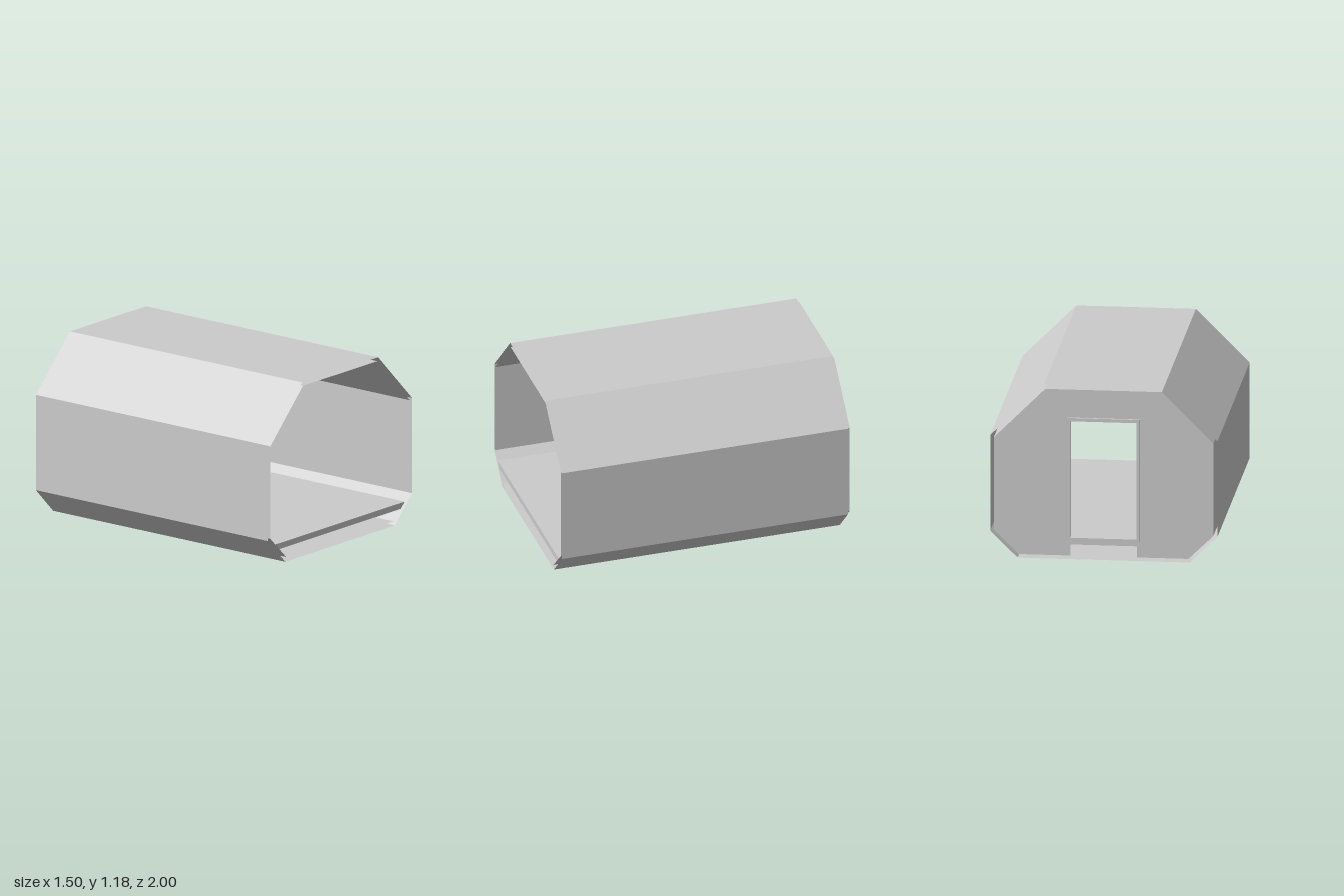
import * as THREE from 'three';

const grey = new THREE.MeshStandardMaterial({ color: 0xcccccc, flatShading: true });
const greyOpen = new THREE.MeshStandardMaterial({ color: 0xcccccc, flatShading: true, side: THREE.DoubleSide });

const FRONT = 1, SHELL_BACK = -0.965, WALL_FRONT = -0.96, WALL_BACK = -0.985;

// Mirror the right half (bottom to top) into a closed counter-clockwise outline
const mirrored = half => [...half, ...half.map(([x, y]) => [-x, y]).reverse()];

const outerOutline = mirrored([[0.57, 0], [0.75, 0.18], [0.75, 0.83], [0.395, 1.185]]);
const innerHalf = [[0.56, 0.03], [0.725, 0.19], [0.725, 0.82], [0.385, 1.16]];

const toShape = pts => new THREE.Shape(pts.map(([x, y]) => new THREE.Vector2(x, y)));

// Open-ended sleeve: one quad per outline edge, facing outwards
function sleeve(name, outline, zFront, zBack) {
  const pos = [];
  outline.forEach(([ax, ay], i) => {
    const [bx, by] = outline[(i + 1) % outline.length];
    pos.push(ax, ay, zFront, ax, ay, zBack, bx, by, zBack);
    pos.push(ax, ay, zFront, bx, by, zBack, bx, by, zFront);
  });
  const geo = new THREE.BufferGeometry();
  geo.setAttribute('position', new THREE.Float32BufferAttribute(pos, 3));
  geo.computeVertexNormals();
  const mesh = new THREE.Mesh(geo, greyOpen);
  mesh.name = name;
  return mesh;
}

// Solid slab of a shape between two z positions
function slab(name, shape, zFront, zBack) {
  const geo = new THREE.ExtrudeGeometry(shape, { depth: zFront - zBack, bevelEnabled: false });
  geo.translate(0, 0, zBack);
  const mesh = new THREE.Mesh(geo, grey);
  mesh.name = name;
  return mesh;
}

export function createModel() {
  const group = new THREE.Group();
  group.name = 'tunnelModule';

  // Outer skin and inner lining, open at both ends
  group.add(sleeve('outerShell', outerOutline, FRONT, SHELL_BACK));
  group.add(sleeve('innerLining', mirrored(innerHalf), FRONT, WALL_FRONT));

  // Floor deck, its edges cut to the lower slopes
  const floor = toShape(mirrored([[0.632, 0.1], [0.673, 0.14]]));
  group.add(slab('floor', floor, FRONT, SHELL_BACK));

  // Back wall with the doorway slot running down to its lower edge
  const wall = toShape(mirrored([[0.22, 0.03], ...innerHalf]).concat([[-0.22, 0.95], [0.22, 0.95]]));
  group.add(slab('backWall', wall, WALL_FRONT, WALL_BACK));

  // Door frame standing proud of the wall on both sides
  const frame = toShape(mirrored([[0.24, 0.14], [0.24, 0.97]]));
  frame.holes.push(toShape(mirrored([[0.218, 0.155], [0.218, 0.948]])));
  group.add(slab('doorFrame', frame, -0.95, -1));

  return group;
}
